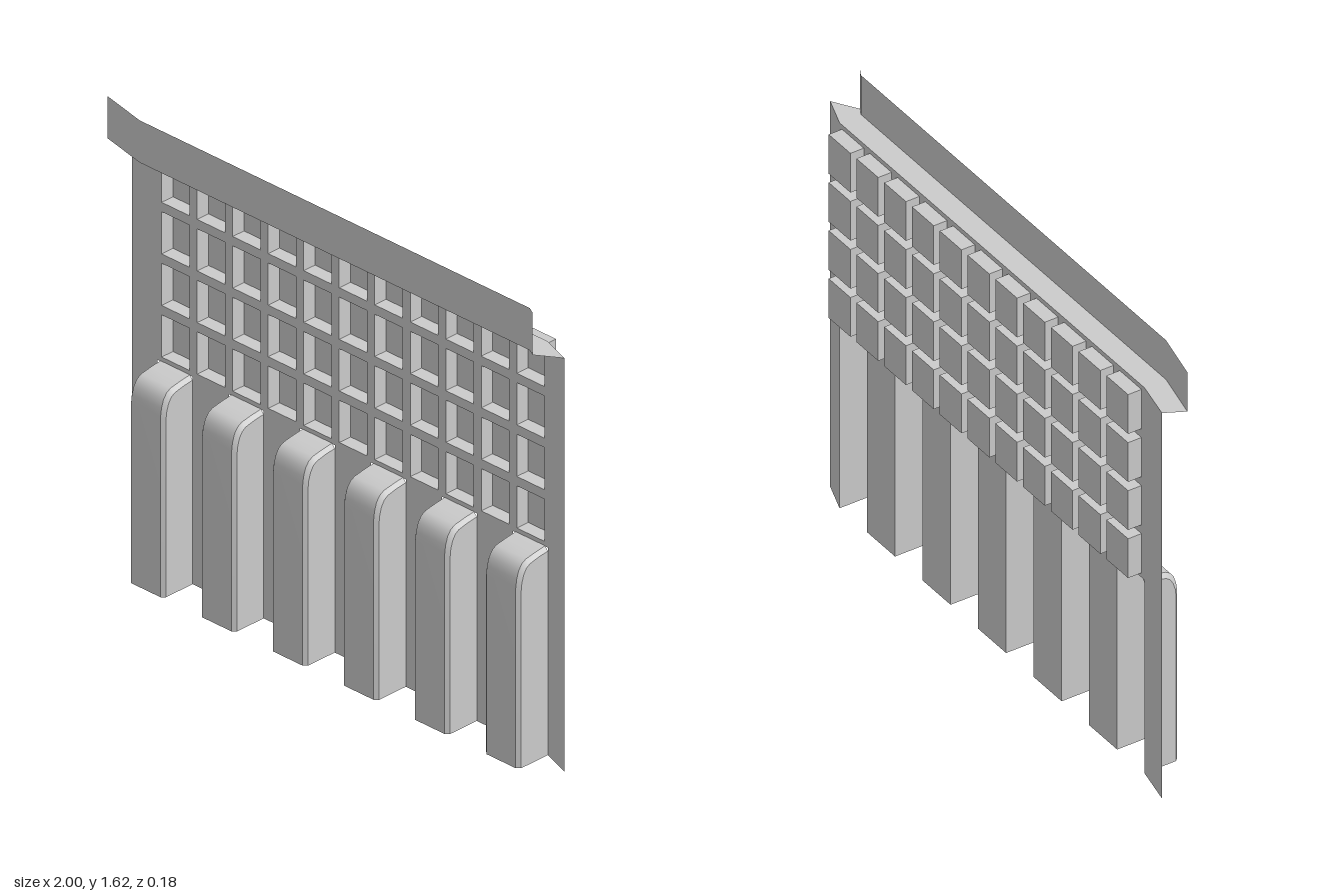
import * as THREE from 'three';
import { toCreasedNormals } from 'three/addons/utils/BufferGeometryUtils.js';

const material = new THREE.MeshStandardMaterial({ color: 0xcccccc, side: THREE.DoubleSide });
const LEFT = -0.82, RIGHT = 0.888, TOP = 1.472, MID = 0.738, WALL_Z = -0.04;

// Sheet lofted through a list of equally long point lines
function sheet(lines) {
  const n = lines[0].length;
  const index = [];
  for (let i = 0; i < lines.length - 1; i++) {
    for (let j = 0; j < n - 1; j++) {
      const a = i * n + j, b = a + n;
      index.push(a, b, a + 1, b, b + 1, a + 1);
    }
  }
  const g = new THREE.BufferGeometry();
  g.setAttribute('position', new THREE.Float32BufferAttribute(lines.flat(2), 3));
  g.setIndex(index);
  return toCreasedNormals(g, 0.5);
}

// Upright strip following [x, z] points
const strip = (points, y0, y1) =>
  sheet([y0, y1].map((y) => points.map(([x, z]) => [x, y, z])));

export function createModel() {
  const model = new THREE.Group();
  const add = (name, geometry, parent = model) => {
    const mesh = new THREE.Mesh(geometry, material);
    mesh.name = name;
    parent.add(mesh);
    return mesh;
  };
  const group = (name) => {
    const g = new THREE.Group();
    g.name = name;
    model.add(g);
    return g;
  };

  // Header band with bent ends, and the ledge joining it to the wall
  const header = [[-1, 0], [LEFT, 0.04], [RIGHT, 0.04], [0.915, 0.055]];
  const wall = [[-0.963, -0.07], [LEFT, WALL_Z], [RIGHT, WALL_Z], [1, 0]];
  add('headerBand', strip(header, TOP, 1.622));
  const outline = [...header, ...wall.slice().reverse()];
  const ledge = new THREE.ShapeGeometry(
    new THREE.Shape(outline.map(([x, z]) => new THREE.Vector2(x, -z))));
  ledge.rotateX(-Math.PI / 2).translate(0, TOP, 0);
  add('ledge', ledge);

  // Angled side wings
  add('rightWing', strip(wall.slice(0, 2), 0, TOP));
  add('leftWing', strip(wall.slice(2), 0, TOP));

  // Upper wall with a grid of pockets sunk toward the back
  const upper = new THREE.Shape([
    new THREE.Vector2(LEFT, MID), new THREE.Vector2(RIGHT, MID),
    new THREE.Vector2(RIGHT, TOP), new THREE.Vector2(LEFT, TOP)]);
  const pockets = group('pockets');
  const w = 0.122, h = 0.15, depth = 0.05;
  const pocket = new THREE.BoxGeometry(w, h, depth);
  const faces = Array.from(pocket.index.array);
  faces.splice(24, 6); // open at the front
  pocket.setIndex(faces);
  pocket.clearGroups();
  for (let row = 0; row < 4; row++) {
    for (let col = 0; col < 11; col++) {
      const x = -0.803 + col * 0.1555, y = 0.755 + row * 0.1835;
      upper.holes.push(new THREE.Path([
        new THREE.Vector2(x, y), new THREE.Vector2(x, y + h),
        new THREE.Vector2(x + w, y + h), new THREE.Vector2(x + w, y)]));
      add('pocket', pocket, pockets).position.set(x + w / 2, y + h / 2, WALL_Z - depth / 2);
    }
  }
  add('upperWall', new THREE.ShapeGeometry(upper).translate(0, 0, WALL_Z));

  // Hollow ribs with chamfered edges and a rounded top, open behind and below
  const outer = [[0.09, 0], [0.09, 0.64], [0.086, 0.67], [0.077, 0.698], [0.063, 0.717],
    [0.045, 0.727], [0, 0.735], [WALL_Z, 0.74]];
  const inner = [[0.078, 0], [0.078, 0.63], [0.075, 0.657], [0.067, 0.683], [0.055, 0.702],
    [0.04, 0.712], [0, 0.721], [WALL_Z, 0.726]];
  const base = inner.map(([, y]) => [WALL_Z, y]);
  const at = (profile, x) => profile.map(([z, y]) => [x, y, z]);
  const ribW = 0.153, c = 0.012, pitch = 0.311;
  const rib = sheet([at(base, 0), at(inner, 0), at(outer, c),
    at(outer, ribW - c), at(inner, ribW), at(base, ribW)]);
  const ribs = group('ribs');
  const panels = group('lowerWall');
  for (let i = 0; i < 6; i++) {
    const x = LEFT + i * pitch;
    add('rib', rib, ribs).position.x = x;
    // Flat wall between neighbouring ribs
    if (i < 5) add('wallPanel', strip([[x + ribW, WALL_Z], [x + pitch, WALL_Z]], 0, MID), panels);
  }
  return model;
}
